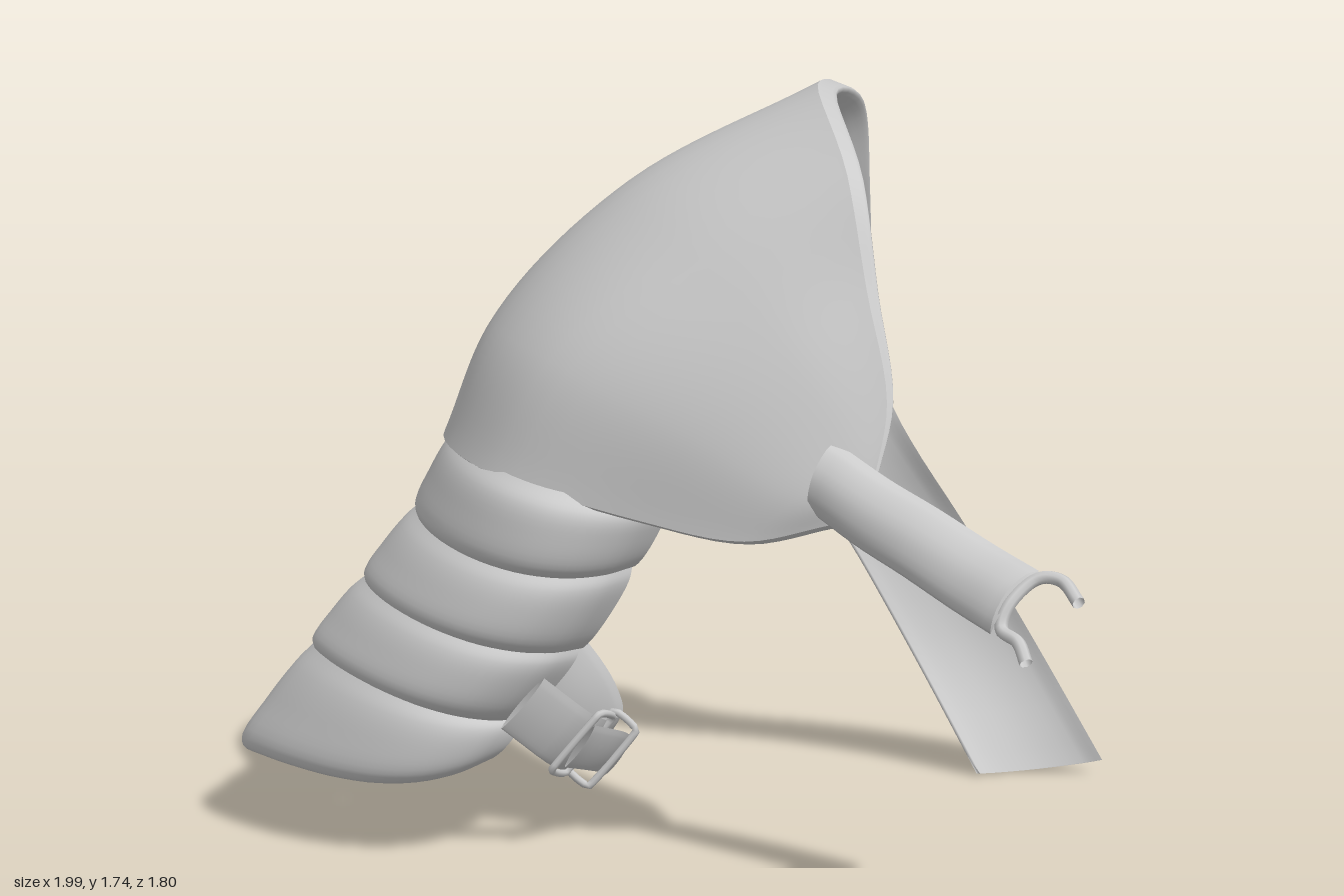
import * as THREE from 'three';

const material = new THREE.MeshStandardMaterial({ color: 0xcccccc, side: THREE.DoubleSide });
const V = (x, y, z) => new THREE.Vector3(x, y, z);
const toVectors = (list) => list.map((p) => V(...p));

// Smooth skin through rows of points
function loft(rows, nu, nv) {
  const curves = rows.map((r) => new THREE.CatmullRomCurve3(r));
  const pos = [], index = [];
  for (let i = 0; i <= nu; i++) {
    const column = new THREE.CatmullRomCurve3(curves.map((c) => c.getPoint(i / nu)));
    for (let j = 0; j <= nv; j++) pos.push(...column.getPoint(j / nv).toArray());
  }
  for (let i = 0; i < nu; i++) {
    for (let j = 0; j < nv; j++) {
      const a = i * (nv + 1) + j, b = a + nv + 1;
      index.push(a, a + 1, b, b, a + 1, b + 1);
    }
  }
  const g = new THREE.BufferGeometry();
  g.setAttribute('position', new THREE.Float32BufferAttribute(pos, 3));
  g.setIndex(index);
  g.computeVertexNormals();
  return g;
}

// Strap along a path; half-width vector blends from h0 to h1, camber bows the middle
function ribbon(points, h0, h1, thick, camber) {
  const path = new THREE.CatmullRomCurve3(toVectors(points));
  const rows = [];
  for (let i = 0; i <= 12; i++) {
    const c = path.getPoint(i / 12);
    const h = V(...h0).lerp(V(...h1), i / 12);
    const n = path.getTangent(i / 12).cross(h).normalize();
    const at = (s, d) => c.clone().addScaledVector(h, s).addScaledVector(n, d);
    const top = camber + thick, low = camber - thick;
    rows.push([at(1, 0), at(0.7, top * 0.6), at(0, top), at(-0.7, top * 0.6), at(-1, 0),
      at(-0.7, low * 0.6), at(0, low), at(0.7, low * 0.6), at(1, 0)]);
  }
  return loft(rows, 24, 24);
}

function wire(points, radius, closed) {
  const curve = new THREE.CatmullRomCurve3(points, closed, 'catmullrom', closed ? 0.15 : 0.5);
  return new THREE.TubeGeometry(curve, 40, radius, 8, closed);
}

// C-shaped arm section: outer point A, inner edge E (both x, y), half depth w, centre z,
// sag of the sides, front-to-back tilt, power that points the outer end, fold angle
function section([ax, ay, ex, ey, w, zc, sag, tilt, power, foldDeg], scale = 1, lift = 0) {
  const row = [], cx = (ax + ex) / 2, fold = THREE.MathUtils.degToRad(foldDeg);
  for (let i = 0; i <= 14; i++) {
    const t = fold * (1 - i / 7);
    const f = (1 - Math.cos(t)) / (1 - Math.cos(fold));
    const x = ax + (ex - ax) * f ** power;
    const y = ay + (ey - ay) * f - sag * Math.sin(t) ** 2 + tilt * Math.sin(t);
    row.push(V(cx + (x - cx) * scale, y + lift, zc + w * scale * Math.sin(t)));
  }
  return row;
}

export function createModel() {
  const group = new THREE.Group();
  const add = (name, geometry) => {
    const mesh = new THREE.Mesh(geometry, material);
    mesh.name = name;
    group.add(mesh);
  };

  // Shoulder dome: rows run front to back, from the lower edge up to the neck rim
  const lower = toVectors([[0.4, 0.86, 0.36], [0.2, 0.81, 0.32], [-0.05, 0.835, 0.22], [-0.39, 0.9, 0.04],
    [-0.515, 0.92, -0.27], [-0.42, 0.91, -0.55], [-0.14, 0.87, -0.74], [0.15, 0.85, -0.83], [0.38, 0.88, -0.83]]);
  const middle = toVectors([[0.43, 0.9, 0.37], [0.32, 0.92, 0.35], [0.08, 1.04, 0.25], [-0.26, 1.17, 0.04],
    [-0.4, 1.19, -0.28], [-0.31, 1.18, -0.58], [-0.02, 1.08, -0.77], [0.22, 0.96, -0.85], [0.39, 0.91, -0.85]]);
  const upper = toVectors([[0.47, 0.93, 0.38], [0.43, 1.03, 0.34], [0.29, 1.24, 0.24], [0.06, 1.44, 0.02],
    [-0.1, 1.5, -0.31], [0.0, 1.45, -0.61], [0.19, 1.27, -0.79], [0.33, 1.06, -0.87], [0.41, 0.94, -0.86]]);
  const rim = toVectors([[0.5, 0.96, 0.38], [0.53, 1.14, 0.31], [0.48, 1.38, 0.2], [0.43, 1.62, 0.05],
    [0.35, 1.745, -0.33], [0.41, 1.66, -0.6], [0.43, 1.43, -0.73], [0.44, 1.13, -0.85], [0.42, 0.95, -0.86]]);
  const inset = (row, amount, dx) => row.map((p) => {
    const s = 1 - amount * (0.15 + 0.85 * THREE.MathUtils.clamp((p.y - 0.95) / 0.8, 0, 1));
    return V(p.x - dx * (p.y - 0.85), 1 + (p.y - 1) * s, -0.28 + (p.z + 0.28) * s);
  });
  add('shoulderDome', loft([lower, middle, upper, rim], 48, 30));
  add('neckRimRoll', loft([rim, inset(rim, 0.03, -0.05), inset(rim, 0.08, 0.0), inset(rim, 0.25, 0.2)], 48, 14));
  add('domeLowerLip', loft([
    lower.map((p) => V(p.x + 0.04, p.y + 0.035, -0.28 + (p.z + 0.28) * 0.9)),
    lower.map((p) => V(p.x + 0.015, p.y - 0.01, -0.28 + (p.z + 0.28) * 0.97)),
    lower], 48, 10));

  // Overlapping arm bands
  const bands = [
    [-0.485, 0.93, 0.02, 0.84, 0.465, -0.29, 0, 0, 1, 140],
    [-0.58, 0.74, -0.06, 0.69, 0.455, -0.295, 0.02, 0, 0.92, 140],
    [-0.7, 0.575, -0.18, 0.49, 0.445, -0.3, 0.02, 0.01, 0.85, 137],
    [-0.82, 0.415, -0.32, 0.32, 0.43, -0.31, 0.02, 0.015, 0.78, 132],
    [-0.985, 0.175, -0.39, 0.24, 0.425, -0.315, 0.07, 0.045, 0.72, 125]];
  for (let i = 0; i < 4; i++) {
    const a = bands[i], b = bands[i + 1];
    const mix = (t) => a.map((v, k) => v + (b[k] - v) * t);
    const last = i === 3;
    add('armBand' + (i + 1), loft([
      section(mix(last ? 0.4 : 0.9), 0.93),
      section(b, 0.97, -0.01),
      section(mix(0.93), 1.03),
      section(mix(0.55), 1.05),
      section(mix(0.2), 1.03),
      section(a, i === 0 ? 0.94 : 0.97)], 48, 24));
  }

  // Rear hanging strap
  add('rearStrap', ribbon([[0.35, 0.95, -0.77], [0.41, 0.8, -0.765], [0.56, 0.53, -0.835],
    [0.7, 0.28, -0.84], [0.85, 0.025, -0.76]], [0.11, 0.03, -0.06], [0.145, 0.015, -0.01], 0.008, -0.045));

  // Front strap with an open fork at its end
  add('frontStrap', ribbon([[0.38, 0.97, 0.33], [0.5, 0.905, 0.42], [0.61, 0.86, 0.515], [0.74, 0.805, 0.64],
    [0.84, 0.775, 0.765]], [0.03, 0.08, -0.01], [0.055, 0.065, -0.045], 0.012, 0.03));
  add('frontStrapFork', wire(toVectors([[0.99, 0.79, 0.83], [0.95, 0.825, 0.76], [0.89, 0.825, 0.74],
    [0.83, 0.775, 0.77], [0.81, 0.72, 0.8], [0.85, 0.7, 0.85], [0.87, 0.66, 0.89]]), 0.016, false));

  // Arm strap across the open side, with its loose tail
  const beltPath = [[-0.32, 0.37, 0.1], [-0.2, 0.255, 0], [-0.155, 0.215, -0.18], [-0.155, 0.205, -0.38],
    [-0.2, 0.25, -0.55], [-0.32, 0.37, -0.68]];
  add('armStrap', ribbon(beltPath, [0.05, 0.06, 0], [0.05, 0.06, 0], 0.01, 0));
  add('armStrapTail', ribbon([[-0.19, 0.25, 0.02], [-0.125, 0.205, -0.12], [-0.11, 0.16, -0.27]],
    [0.035, 0.05, 0], [0.03, 0.045, 0], 0.008, 0));

  // Buckle frame, pin and keeper loop
  const hardware = (x, y, z, dx, dy, dz) => {
    const c = V(x, y, z), t = V(dx, dy, dz).normalize(), w = V(0.64, 0.77, 0);
    const n = w.clone().cross(t).normalize();
    return (a, b, d) => c.clone().addScaledVector(w, a).addScaledVector(t, b).addScaledVector(n, d);
  };
  const buckle = hardware(-0.185, 0.25, -0.01, 0.3, -0.25, -0.8);
  add('buckleFrame', wire([buckle(0.085, 0.045, 0), buckle(0.085, -0.045, 0),
    buckle(-0.085, -0.045, 0), buckle(-0.085, 0.045, 0)], 0.009, true));
  add('bucklePin', wire([buckle(0, -0.05, 0), buckle(0, 0, 0.025), buckle(0, 0.06, 0.012)], 0.007, false));
  const keeper = hardware(-0.145, 0.21, -0.13, 0.1, -0.1, -0.9);
  add('keeperLoop', wire([keeper(0.085, 0, 0.035), keeper(0.085, 0, -0.035),
    keeper(-0.085, 0, -0.035), keeper(-0.085, 0, 0.035)], 0.009, true));

  return group;
}
